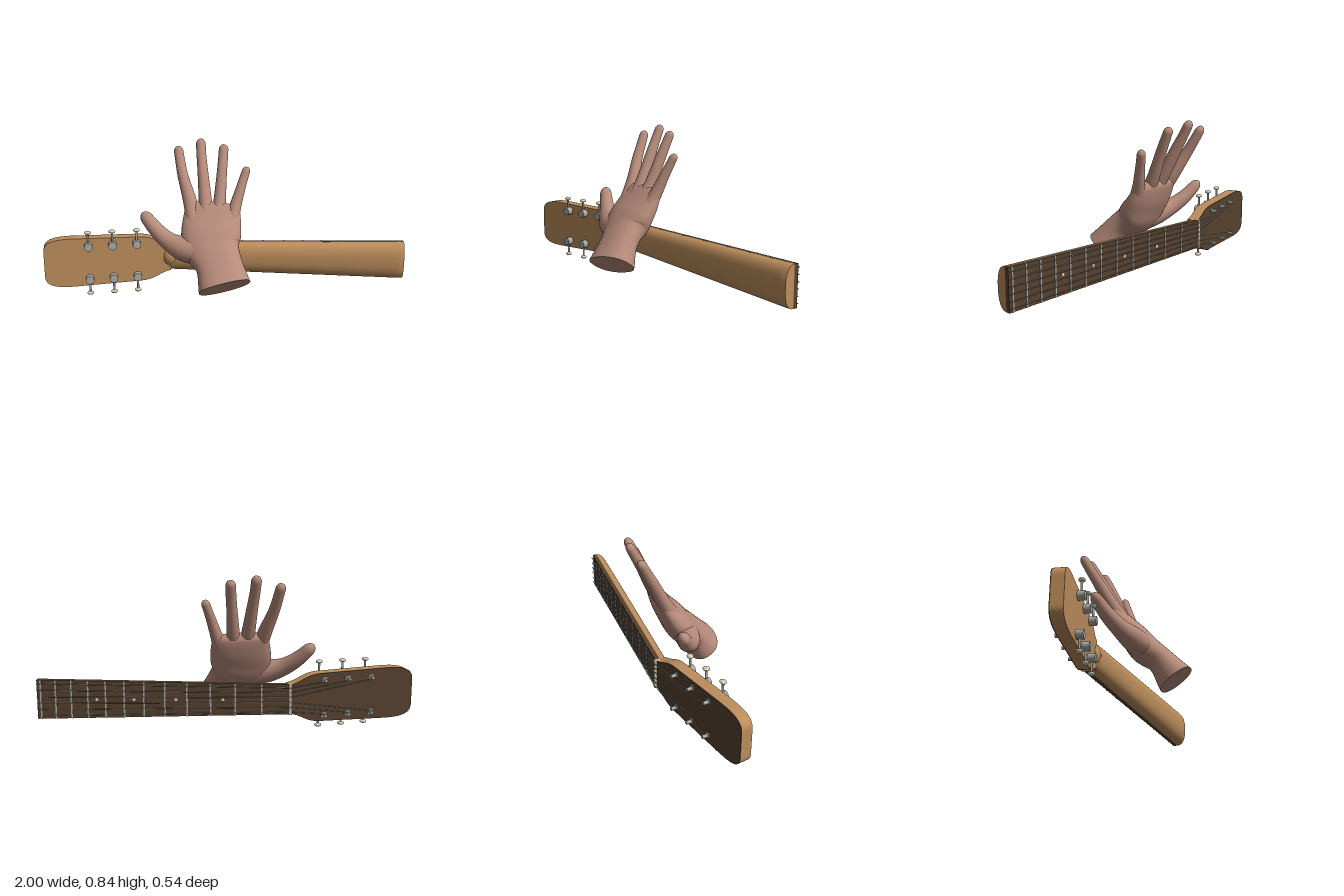
import * as THREE from 'three';

const V = (x, y, z) => new THREE.Vector3(x, y, z);
const mat = (name, color) => {
  const m = new THREE.MeshStandardMaterial({ color });
  m.name = name;
  return m;
};

// Smooth loft through stations [x, y, z, halfWidth, halfThickness].
// ref points to the thickness side; round is the part of the length that closes to a dome.
function loft(stations, ref, { steps = 36, sides = 24, power = 2, round = 0, flat = false } = {}) {
  const path = new THREE.CatmullRomCurve3(stations.map(s => V(s[0], s[1], s[2])));
  const size = new THREE.CatmullRomCurve3(stations.map(s => V(s[3], s[4], 0)));
  const rings = [], pos = [], idx = [];
  const bend = a => Math.sign(a) * Math.pow(Math.abs(a), 2 / power);
  for (let i = 0; i <= steps; i++) {
    const t = round ? Math.sin(i / steps * Math.PI / 2) : i / steps;
    const c = path.getPoint(t), d = path.getTangent(t), r = size.getPoint(t);
    const v = ref.clone().addScaledVector(d, -ref.dot(d)).normalize();
    const u = v.clone().cross(d);
    const k = round && t > 1 - round ? Math.sqrt(Math.max(1e-5, 1 - ((t - 1 + round) / round) ** 2)) : 1;
    const ring = [];
    for (let j = 0; j < sides; j++) {
      const a = j / sides * Math.PI * 2;
      const s = flat ? Math.max(0, Math.sin(a)) : Math.sin(a);
      ring.push(c.clone().addScaledVector(u, r.x * k * bend(Math.cos(a))).addScaledVector(v, r.y * k * bend(s)));
    }
    rings.push(ring);
  }
  rings.forEach(ring => ring.forEach(p => pos.push(p.x, p.y, p.z)));
  for (let i = 0; i < steps; i++) for (let j = 0; j < sides; j++) {
    const a = i * sides + j, b = i * sides + (j + 1) % sides;
    idx.push(a, b, a + sides, b, b + sides, a + sides);
  }
  // end caps with their own vertices, so the rims stay sharp
  [[rings[0], true], [rings[steps], false]].forEach(([ring, start]) => {
    const base = pos.length / 3;
    const mid = ring.reduce((s, p) => s.add(p), V(0, 0, 0)).divideScalar(sides);
    [...ring, mid].forEach(p => pos.push(p.x, p.y, p.z));
    for (let j = 0; j < sides; j++) {
      const a = base + j, b = base + (j + 1) % sides;
      idx.push(base + sides, start ? b : a, start ? a : b);
    }
  });
  const g = new THREE.BufferGeometry();
  g.setAttribute('position', new THREE.Float32BufferAttribute(pos, 3));
  g.setIndex(idx);
  g.computeVertexNormals();
  return g;
}

export function createModel() {
  const model = new THREE.Group();
  const skin = mat('skin', 0xb68b7a), wood = mat('lightWood', 0xbd8e5c), dark = mat('darkWood', 0x56412e);
  const metal = mat('metal', 0xaaaaa6), cream = mat('cream', 0xd6cdb4);
  const add = (parent, name, geo, material, x = 0, y = 0, z = 0) => {
    const m = new THREE.Mesh(geo, material);
    m.name = name;
    m.position.set(x, y, z);
    parent.add(m);
    return m;
  };
  const CY = 0.19, NUT = -0.32;
  const halfWidth = x => 0.08 + 0.025 * (x - NUT) / (1 - NUT);

  // ---- neck, fretboard, frets
  const neck = new THREE.Group();
  neck.name = 'neck';
  model.add(neck);
  const neckStations = [[NUT, 0.052], [0.1, 0.056], [0.55, 0.06], [0.96, 0.062], [1, 0.056]]
    .map(([x, depth]) => [x, CY, -0.158, halfWidth(x), depth]);
  add(neck, 'neckBack', loft(neckStations, V(0, 0, 1), { steps: 24, sides: 40, power: 2.4, flat: true }), wood);
  const volute = add(neck, 'neckVolute', new THREE.SphereGeometry(1, 24, 16), wood, -0.31, CY, -0.135);
  volute.scale.set(0.045, 0.055, 0.04);

  const board = new THREE.Shape([[NUT, -1], [1, -1], [1, 1], [NUT, 1]]
    .map(([x, s]) => new THREE.Vector2(x, CY + s * halfWidth(x))));
  add(neck, 'fretboard', new THREE.ExtrudeGeometry(board, { depth: 0.024, bevelEnabled: false }), dark, 0, 0, -0.181);
  add(neck, 'nut', new THREE.BoxGeometry(0.016, 0.162, 0.034), cream, NUT - 0.004, CY, -0.173);
  const fretX = n => NUT + 2.6 * (1 - Math.pow(2, -n / 12));
  for (let n = 1; n <= 12; n++)
    add(neck, 'fret', new THREE.BoxGeometry(0.008, 2 * halfWidth(fretX(n)), 0.005), metal, fretX(n), CY, -0.182);
  for (const n of [3, 5, 7, 9]) {
    const dot = add(neck, 'fretMarker', new THREE.CylinderGeometry(0.008, 0.008, 0.003, 16), cream,
      (fretX(n) + fretX(n - 1)) / 2, CY, -0.181);
    dot.rotation.x = Math.PI / 2;
  }

  // ---- headstock, tilted back from the nut
  const head = new THREE.Group();
  head.name = 'headstock';
  head.position.set(NUT, CY, -0.175);
  head.rotation.y = 0.25;
  model.add(head);
  const outline = new THREE.Shape();
  outline.moveTo(0, -0.078);
  outline.bezierCurveTo(-0.06, -0.085, -0.09, -0.128, -0.17, -0.13);
  outline.lineTo(-0.55, -0.14);
  outline.bezierCurveTo(-0.65, -0.14, -0.7, -0.125, -0.7, -0.07);
  outline.lineTo(-0.7, 0.07);
  outline.bezierCurveTo(-0.7, 0.125, -0.65, 0.14, -0.55, 0.14);
  outline.lineTo(-0.17, 0.13);
  outline.bezierCurveTo(-0.09, 0.128, -0.06, 0.085, 0, 0.078);
  const slab = depth => new THREE.ExtrudeGeometry(outline, { depth, bevelEnabled: false, curveSegments: 16 });
  add(head, 'headstockBody', slab(0.058), wood);
  add(head, 'headstockFace', slab(0.005), dark, 0, 0, -0.005);

  // tuning machines, three on each edge
  const tunerX = [-0.19, -0.324, -0.456];
  for (const side of [-1, 1]) for (const x of tunerX) {
    const tuner = new THREE.Group();
    tuner.name = 'tuner';
    tuner.position.set(x, 0, 0);
    head.add(tuner);
    const y = side * 0.096;
    add(tuner, 'gear', new THREE.CylinderGeometry(0.023, 0.023, 0.037, 24), metal, 0, y, 0.076).rotation.x = Math.PI / 2;
    add(tuner, 'post', new THREE.CylinderGeometry(0.009, 0.009, 0.034, 16), metal, 0, y, -0.02).rotation.x = Math.PI / 2;
    add(tuner, 'washer', new THREE.CylinderGeometry(0.016, 0.016, 0.006, 20), metal, 0, y, -0.007).rotation.x = Math.PI / 2;
    add(tuner, 'shaft', new THREE.CylinderGeometry(0.006, 0.006, 0.08, 12), metal, 0, side * 0.134, 0.075);
    add(tuner, 'button', new THREE.SphereGeometry(1, 20, 12), cream, 0, side * 0.176, 0.075).scale.set(0.019, 0.01, 0.017);
  }

  // ---- strings, from the neck end over the nut to the posts
  head.updateMatrix();
  const rod = (name, a, b, r) => {
    const m = add(model, name, new THREE.CylinderGeometry(r, r, a.distanceTo(b), 6), metal);
    m.position.copy(a).add(b).multiplyScalar(0.5);
    m.quaternion.setFromUnitVectors(V(0, 1, 0), b.clone().sub(a).normalize());
  };
  for (let i = 0; i < 6; i++) {
    const k = (i - 2.5) / 2.5, side = Math.sign(k), r = 0.0018 + 0.0002 * i;
    const post = V(tunerX[i < 3 ? i : 5 - i], side * 0.088, -0.026).applyMatrix4(head.matrix);
    const nut = V(NUT - 0.004, CY + k * 0.066, -0.191);
    rod('string', V(1, CY + k * 0.086, -0.189), nut, r);
    rod('stringEnd', nut, post, r);
  }

  // ---- open hand behind the neck
  const hand = new THREE.Group();
  hand.name = 'hand';
  model.add(hand);
  const back = V(0, 0.6, 0.8);
  add(hand, 'palm', loft([
    [0.02, 0.132, 0.185, 0.14, 0.098],
    [-0.015, 0.235, 0.115, 0.125, 0.072],
    [-0.055, 0.3, 0.04, 0.15, 0.08],
    [-0.065, 0.36, 0, 0.163, 0.073],
    [-0.065, 0.42, -0.042, 0.161, 0.06],
    [-0.063, 0.48, -0.077, 0.152, 0.044],
    [-0.06, 0.525, -0.1, 0.142, 0.028],
  ], back, { steps: 48, sides: 40, power: 2.3, round: 0.1 }), skin);

  const digits = {
    indexFinger: [[-0.16, 0.41, -0.025, 0.042, 0.04], [-0.187, 0.52, -0.092, 0.038, 0.036],
      [-0.235, 0.66, -0.163, 0.029, 0.029], [-0.252, 0.73, -0.2, 0.027, 0.026], [-0.268, 0.805, -0.238, 0.026, 0.023]],
    middleFinger: [[-0.09, 0.41, -0.025, 0.042, 0.042], [-0.105, 0.535, -0.1, 0.036, 0.036],
      [-0.125, 0.69, -0.178, 0.029, 0.03], [-0.135, 0.765, -0.217, 0.027, 0.026], [-0.142, 0.845, -0.258, 0.027, 0.023]],
    ringFinger: [[-0.03, 0.41, -0.03, 0.04, 0.04], [-0.025, 0.53, -0.1, 0.034, 0.034],
      [-0.017, 0.675, -0.163, 0.028, 0.029], [-0.013, 0.745, -0.195, 0.027, 0.026], [-0.01, 0.82, -0.23, 0.026, 0.023]],
    littleFinger: [[0.04, 0.39, -0.025, 0.042, 0.04], [0.058, 0.49, -0.075, 0.034, 0.034],
      [0.085, 0.585, -0.11, 0.027, 0.027], [0.103, 0.645, -0.133, 0.024, 0.024], [0.124, 0.71, -0.157, 0.022, 0.021]],
    thumb: [[-0.11, 0.28, 0.055, 0.075, 0.07], [-0.215, 0.295, 0.035, 0.068, 0.062],
      [-0.3, 0.325, 0, 0.05, 0.046], [-0.375, 0.38, -0.04, 0.041, 0.038], [-0.452, 0.462, -0.08, 0.032, 0.028]],
  };
  for (const [name, stations] of Object.entries(digits))
    add(hand, name, loft(stations, back, { round: 0.09 }), skin);

  return model;
}
